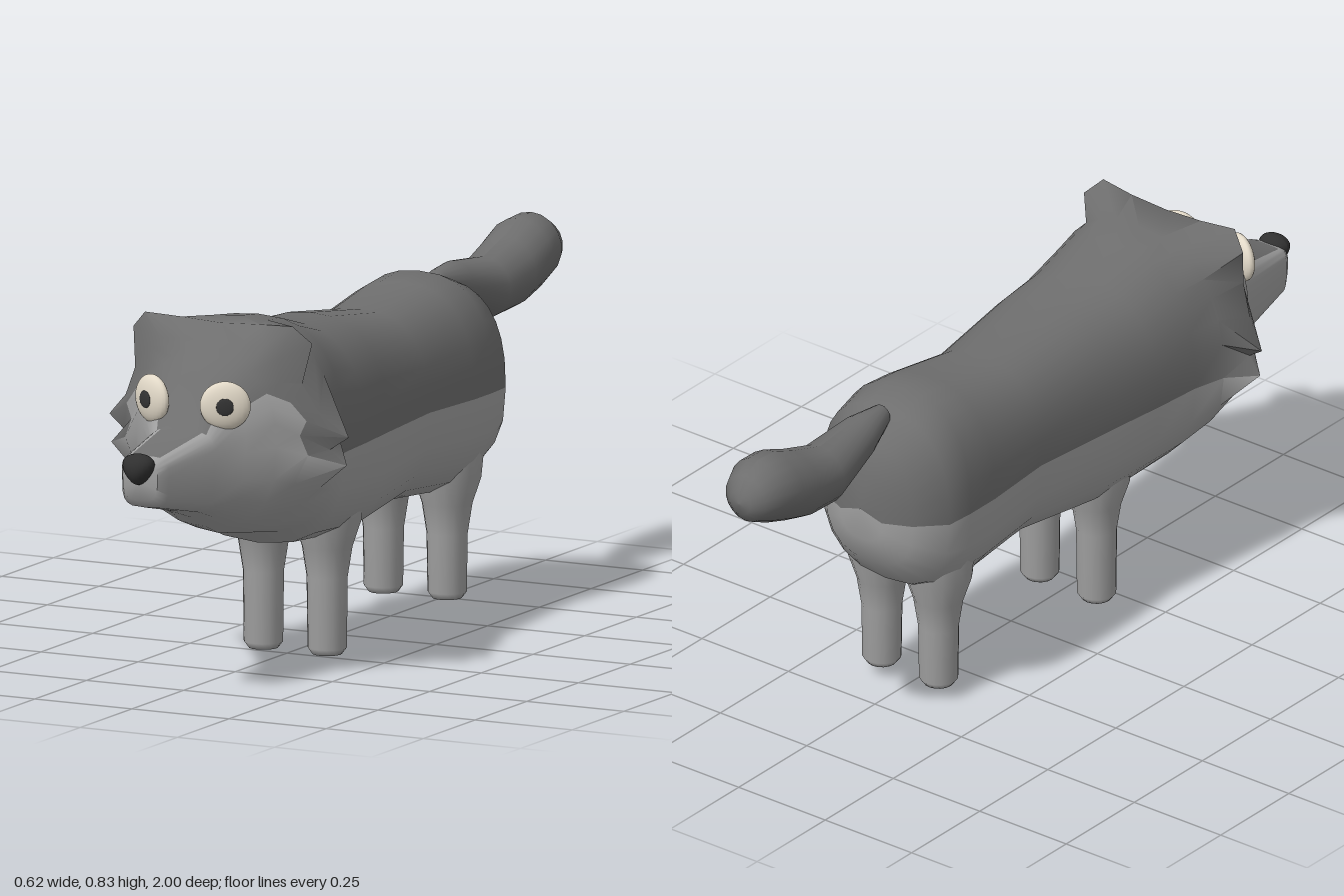
import * as THREE from 'three';
import { toCreasedNormals } from 'three/addons/utils/BufferGeometryUtils.js';

const material = (name, color) => {
  const m = new THREE.MeshStandardMaterial({ color });
  m.name = name;
  return m;
};

const UPPER = 8, LOWER = 5; // segments above and below the widest line

// Half outline of a rounded cross-section, from top centre down to bottom centre
function section(z, w, top, mid, bottom, power = 0.8) {
  const pts = [];
  for (let i = 0; i <= UPPER + LOWER; i++) {
    const up = i <= UPPER;
    const a = (up ? i / UPPER : (UPPER + LOWER - i) / LOWER) * Math.PI / 2;
    const c = Math.pow(Math.max(0, Math.cos(a)), power);
    const x = w * Math.pow(Math.max(0, Math.sin(a)), power);
    pts.push(new THREE.Vector3(x, mid + ((up ? top : bottom) - mid) * c, z));
  }
  return pts;
}

// Skin mirrored sections from front to back; darkCols = dark columns per span
function loft(rings, darkCols, materials) {
  const half = UPPER + LOWER, n = half * 2, pos = [], dark = [], light = [];
  rings.forEach(r => {
    for (let j = 0; j < n; j++) {
      const p = r[j <= half ? j : n - j];
      pos.push(j <= half ? p.x : -p.x, p.y, p.z);
    }
  });
  for (let i = 0; i < rings.length - 1; i++) {
    for (let j = 0; j < n; j++) {
      const a = i * n + j, b = i * n + (j + 1) % n, c = b + n, d = a + n;
      const column = j < half ? j : n - 1 - j;
      (column < darkCols[i] ? dark : light).push(a, b, d, b, c, d);
    }
  }
  const geo = new THREE.BufferGeometry();
  geo.setAttribute('position', new THREE.Float32BufferAttribute(pos, 3));
  geo.setIndex([...dark, ...light]);
  geo.addGroup(0, dark.length, 0);
  geo.addGroup(dark.length, light.length, 1);
  return new THREE.Mesh(toCreasedNormals(geo, 0.9), materials);
}

const lathe = (profile, sides) =>
  new THREE.LatheGeometry(profile.map(([r, y]) => new THREE.Vector2(r, y)), sides);

export function createModel() {
  const group = new THREE.Group();
  const darkFur = material('dark fur', 0x6e6e6e);
  const lightFur = material('light fur', 0xa0a0a0);
  const noseBlack = material('nose black', 0x303030);
  const eyeWhite = material('eye cream', 0xe2d9c8);
  const pupilGrey = material('pupil grey', 0x333333);

  const add = (name, geo, mat, parent = group) => {
    const m = new THREE.Mesh(geo, mat);
    m.name = name;
    parent.add(m);
    return m;
  };

  // Ruff outline: ear corners and the two cheek tufts
  const ruff = [
    [0, .82, .57], [.10, .825, .57], [.19, .83, .58], [.23, .79, .56], [.215, .70, .58],
    [.25, .63, .56], [.308, .575, .53], [.265, .545, .54], [.303, .51, .53],
    [.24, .455, .54], [.19, .41, .55], [.12, .36, .56], [.06, .34, .57], [0, .335, .58],
  ].map(p => new THREE.Vector3(...p));

  // Muzzle, brow and cheeks, then trunk back to the rump
  const brow = section(.64, .18, .755, .56, .36);
  const cheek = ruff.map((p, i) => p.clone().lerp(brow[i], .55));
  const head = [
    section(.965, .001, .521, .52, .519),
    section(.96, .045, .565, .53, .475, .6),
    section(.935, .06, .575, .53, .455, .5),
    section(.76, .085, .605, .53, .415, .5),
    section(.70, .135, .71, .55, .39),
    brow, cheek, ruff,
  ];
  const trunk = [
    [.47, .245, .82, .32], [.39, .225, .81, .28], [.27, .215, .775, .27],
    [.14, .20, .77, .26], [-.11, .175, .735, .29], [-.30, .19, .765, .275],
    [-.39, .19, .775, .275], [-.46, .185, .75, .31], [-.52, .125, .695, .38],
    [-.55, .06, .62, .45],
  ].map(([z, w, top, bottom]) => section(z, w, top, .51, bottom));
  trunk.push(section(-.555, .001, .531, .53, .529));
  const darkCols = [0, 0, 2, 3, 5, 5, UPPER, ...trunk.map(() => UPPER)];
  const body = loft([...head, ...trunk], darkCols, [darkFur, lightFur]);
  body.name = 'body';
  group.add(body);

  // Legs flaring into the belly
  const legProfile = y0 => [
    [0, y0], [.034, y0], [.045, y0 + .015], [.047, .18], [.058, .25], [.078, .31], [.085, .38],
  ];
  for (const side of [1, -1]) {
    const label = side > 0 ? 'left' : 'right';
    add(label + 'FrontLeg', lathe(legProfile(0), 16), lightFur).position.set(side * .082, 0, .21);
    add(label + 'RearLeg', lathe(legProfile(.03), 16), lightFur).position.set(side * .082, 0, -.37);

    // Bulging eye turned slightly outward
    const eye = new THREE.Group();
    eye.name = label + 'Eye';
    eye.position.set(side * .094, .663, .725);
    eye.rotation.y = side * .45;
    const ball = new THREE.SphereGeometry(1, 24, 16);
    add('eyeball', ball, eyeWhite, eye).scale.set(.058, .056, .022);
    const pupil = add('pupil', ball, pupilGrey, eye);
    pupil.scale.set(.02, .02, .004);
    pupil.position.z = .0205;
    group.add(eye);
  }

  // Nose, wider at the top
  const nose = new THREE.SphereGeometry(1, 20, 14);
  const np = nose.attributes.position;
  for (let i = 0; i < np.count; i++) {
    const y = np.getY(i);
    np.setXYZ(i, np.getX(i) * .036 * (1 + .4 * y), .549 + .036 * y, .967 + .033 * np.getZ(i));
  }
  nose.computeVertexNormals();
  add('nose', nose, noseBlack);

  // Tail: a club shape laid backward and bent in a shallow wave
  const tail = lathe([
    [0, 0], [.025, .015], [.05, .10], [.071, .24], [.083, .34], [.087, .41],
    [.079, .47], [.058, .515], [.03, .535], [0, .54],
  ], 18);
  tail.rotateX(-Math.PI / 2);
  const tp = tail.attributes.position;
  for (let i = 0; i < tp.count; i++) {
    const t = -tp.getZ(i) / .54;
    tp.setY(i, tp.getY(i) + .712 + .028 * Math.cos(t * Math.PI * 2 / .9));
  }
  tail.translate(0, 0, -.46);
  tail.computeVertexNormals();
  add('tail', tail, darkFur);

  return group;
}
